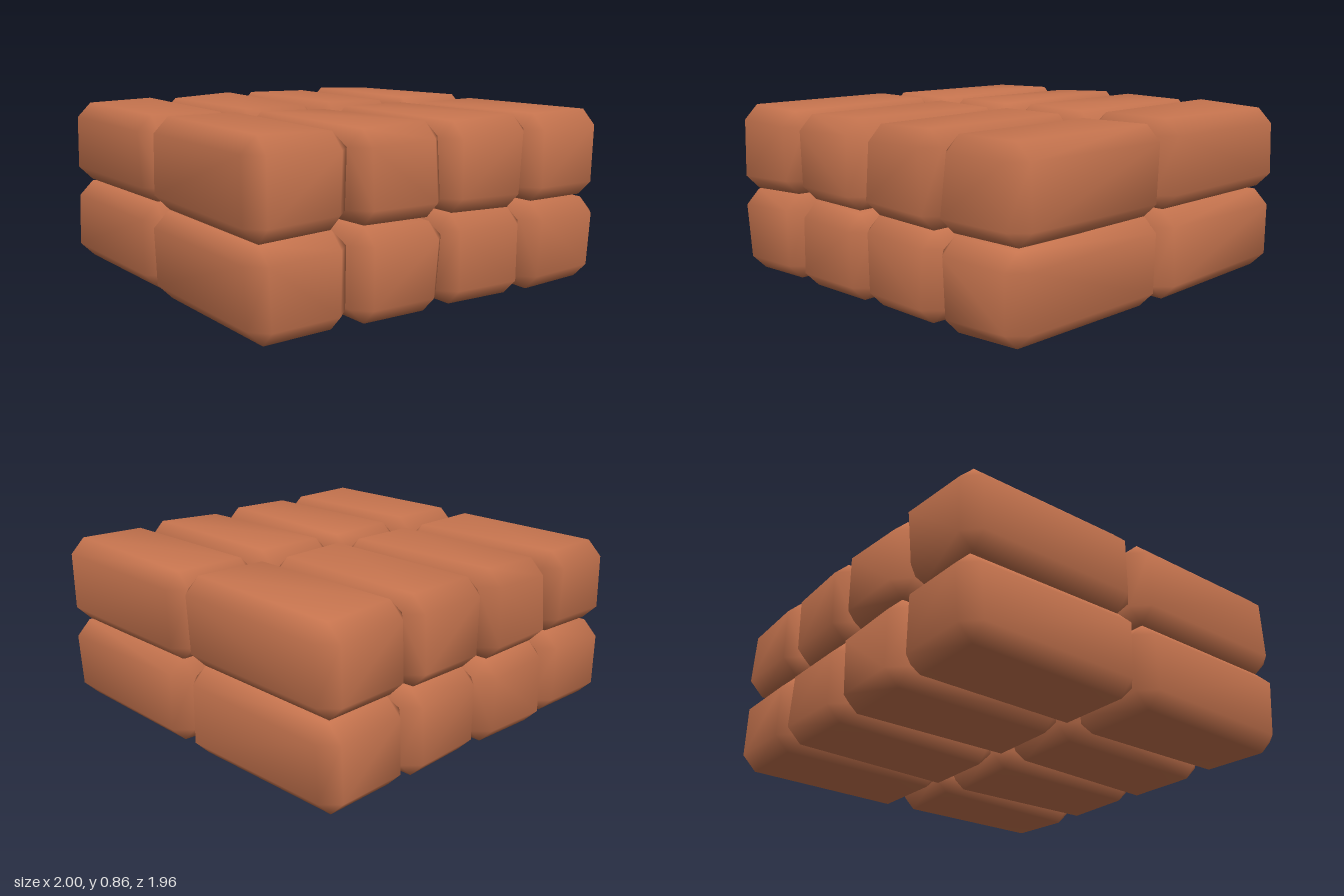
import * as THREE from 'three';
import { mergeVertices } from 'three/addons/utils/BufferGeometryUtils.js';
import { ConvexGeometry } from 'three/addons/geometries/ConvexGeometry.js';

// small seeded generator for the uneven, hand-made corners
function seeded(seed) {
  return () => {
    seed = (seed * 16807) % 2147483647;
    return seed / 2147483647;
  };
}

const HALF = [0.246, 0.21, 0.481];
const BEVEL = 0.073;
const JITTER = 0.01;

// chamfered block: every corner is cut into three points, then shaded smoothly
function brickGeometry(rand) {
  const points = [];
  for (const sx of [-1, 1]) for (const sy of [-1, 1]) for (const sz of [-1, 1]) {
    const sign = [sx, sy, sz];
    const corner = HALF.map((h, a) => sign[a] * h + (rand() * 2 - 1) * JITTER);
    for (let face = 0; face < 3; face++) {
      const p = corner.map((c, a) => (a === face ? c : c - sign[a] * BEVEL));
      points.push(new THREE.Vector3(...p));
    }
  }
  const geometry = new ConvexGeometry(points);
  geometry.deleteAttribute('normal');
  const smooth = mergeVertices(geometry, 1e-4);
  smooth.computeVertexNormals();
  return smooth;
}

export function createModel() {
  const group = new THREE.Group();
  group.name = 'brickStack';
  const clay = new THREE.MeshStandardMaterial({ color: 0xc8754f });
  clay.name = 'clay';
  const rand = seeded(4711);

  // two layers of two rows of four bricks
  for (let layer = 0; layer < 2; layer++) {
    for (let row = 0; row < 2; row++) {
      for (let column = 0; column < 4; column++) {
        const brick = new THREE.Mesh(brickGeometry(rand), clay);
        brick.name = `${layer ? 'upper' : 'lower'}${row ? 'Front' : 'Back'}Brick${column + 1}`;
        brick.position.set((column - 1.5) * 0.496, 0.217 + layer * 0.423, row ? 0.486 : -0.488);
        group.add(brick);
      }
    }
  }
  return group;
}
